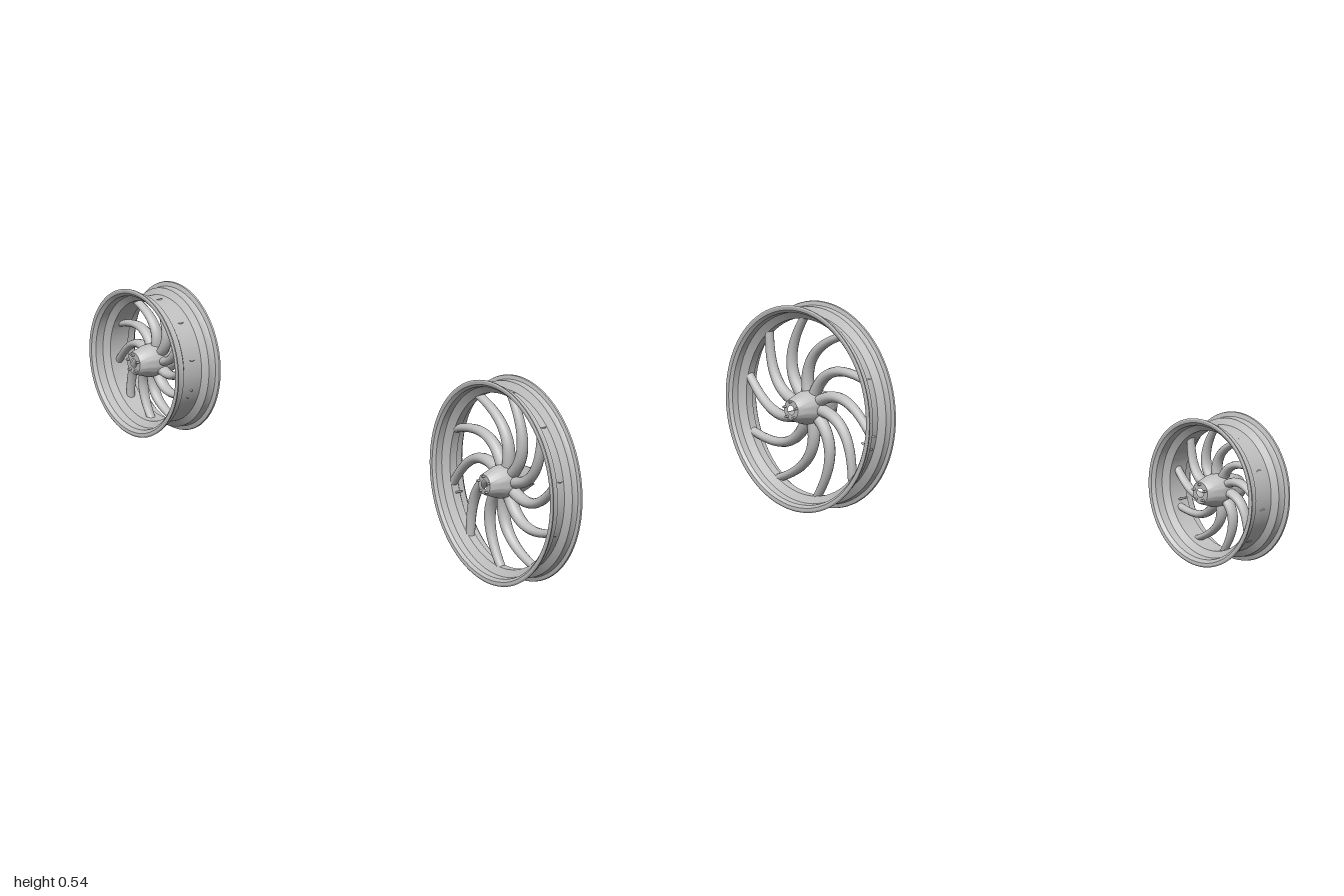
import * as THREE from 'three';
import { toCreasedNormals } from 'three/addons/utils/BufferGeometryUtils.js';

const metal = new THREE.MeshStandardMaterial({ color: 0xc0c0c0 });
metal.name = 'silverMetal';

function part(name, geometry) {
  const mesh = new THREE.Mesh(geometry, metal);
  mesh.name = name;
  return mesh;
}

// Revolve [radius, z] pairs about the wheel axle
function revolve(profile, segments) {
  const geo = new THREE.LatheGeometry(profile.map(([r, z]) => new THREE.Vector2(r, z)), segments);
  geo.rotateX(Math.PI / 2);
  return toCreasedNormals(geo, 0.55);
}

// Curved spoke: an oval section swept along a bend, tapering towards the rim
function spokeGeometry(start, reach, bend, width, depth) {
  const curve = new THREE.QuadraticBezierCurve(
    new THREE.Vector2(start, 0),
    new THREE.Vector2(reach * 0.66, -reach * 0.04),
    new THREE.Vector2(Math.cos(bend) * reach, Math.sin(bend) * reach));
  const rows = 18, sides = 12, positions = [], index = [];
  for (let i = 0; i <= rows; i++) {
    const t = i / rows, p = curve.getPoint(t), d = curve.getTangent(t);
    const w = width * (1 - 0.35 * t) / 2, h = depth * (1 - 0.35 * t) / 2;
    for (let j = 0; j < sides; j++) {
      const a = (j / sides) * Math.PI * 2, c = Math.cos(a) * w;
      positions.push(p.x - d.y * c, p.y + d.x * c, Math.sin(a) * h);
      if (i === rows) continue;
      const k = i * sides + j, n = i * sides + (j + 1) % sides;
      index.push(k, n, k + sides, n, n + sides, k + sides);
    }
  }
  const geo = new THREE.BufferGeometry();
  geo.setAttribute('position', new THREE.Float32BufferAttribute(positions, 3));
  geo.setIndex(index);
  geo.computeVertexNormals();
  return geo;
}

function makeWheel(name, o) {
  const wheel = new THREE.Group();
  wheel.name = name;

  // Rim: half profile mirrored across the wheel plane, outside then inside
  const mirrored = half => [...half.map(([r, z]) => [r, -z]), ...half.slice().reverse()];
  const outer = mirrored(o.outer);
  const inner = mirrored(o.inner).reverse();
  wheel.add(part('rim', revolve([...outer, ...inner, outer[0]], 96)));

  // Hub with a through bore
  wheel.add(part('hub', revolve([...mirrored(o.hub), o.hub[0]], 40)));

  // Swirling spokes
  const spoke = spokeGeometry(0.025, o.reach, o.bend, o.spokeWidth, o.spokeDepth);
  for (let i = 0; i < 10; i++) {
    const mesh = part('spoke', spoke);
    mesh.rotation.z = (i / 10) * Math.PI * 2 + o.turn;
    wheel.add(mesh);
  }

  // Five bolts on each hub face
  const bolt = new THREE.CylinderGeometry(0.0032, 0.0032, 0.012, 12).rotateX(Math.PI / 2);
  for (const side of [-1, 1]) {
    for (let i = 0; i < 5; i++) {
      const a = (i / 5) * Math.PI * 2 + Math.PI / 2;
      const mesh = part('hubBolt', bolt);
      mesh.position.set(Math.cos(a) * 0.022, Math.sin(a) * 0.022, side * (o.hubEnd + 0.002));
      wheel.add(mesh);
    }
  }

  // Valve stem pointing inwards from the rim
  const valve = part('valveStem', new THREE.CylinderGeometry(0.003, 0.003, 0.04, 10));
  valve.position.set(Math.cos(o.valve) * (o.reach - 0.012), Math.sin(o.valve) * (o.reach - 0.012), 0);
  valve.rotation.z = o.valve - Math.PI / 2;
  wheel.add(valve);

  wheel.position.set(o.x, 0.27, o.z);
  return wheel;
}

export function createModel() {
  const model = new THREE.Group();
  model.name = 'wheelPair';

  // Tall narrow wheel
  model.add(makeWheel('largeWheel', {
    x: 0.73, z: -0.001,
    outer: [[0.266, 0.049], [0.27, 0.047], [0.269, 0.043], [0.259, 0.04], [0.257, 0.036],
      [0.258, 0.023], [0.24, 0.011]],
    inner: [[0.258, 0.048], [0.251, 0.041], [0.249, 0.024], [0.231, 0.011]],
    hub: [[0.012, 0.07], [0.026, 0.07], [0.028, 0.068], [0.036, 0.046], [0.043, 0.026], [0.044, 0.012]],
    hubEnd: 0.07, reach: 0.236, bend: 0.75, spokeWidth: 0.032, spokeDepth: 0.038, turn: 0.1, valve: 3.48,
  }));

  // Short wide wheel
  model.add(makeWheel('smallWheel', {
    x: -0.806, z: -0.001,
    outer: [[0.19, 0.07], [0.194, 0.068], [0.193, 0.064], [0.182, 0.06], [0.18, 0.055],
      [0.181, 0.04], [0.165, 0.028]],
    inner: [[0.183, 0.069], [0.175, 0.061], [0.173, 0.04], [0.157, 0.028]],
    hub: [[0.012, 0.068], [0.028, 0.068], [0.03, 0.066], [0.036, 0.046], [0.042, 0.028], [0.043, 0.012]],
    hubEnd: 0.068, reach: 0.162, bend: 0.75, spokeWidth: 0.025, spokeDepth: 0.036, turn: 0.1, valve: -0.3,
  }));
  return model;
}
